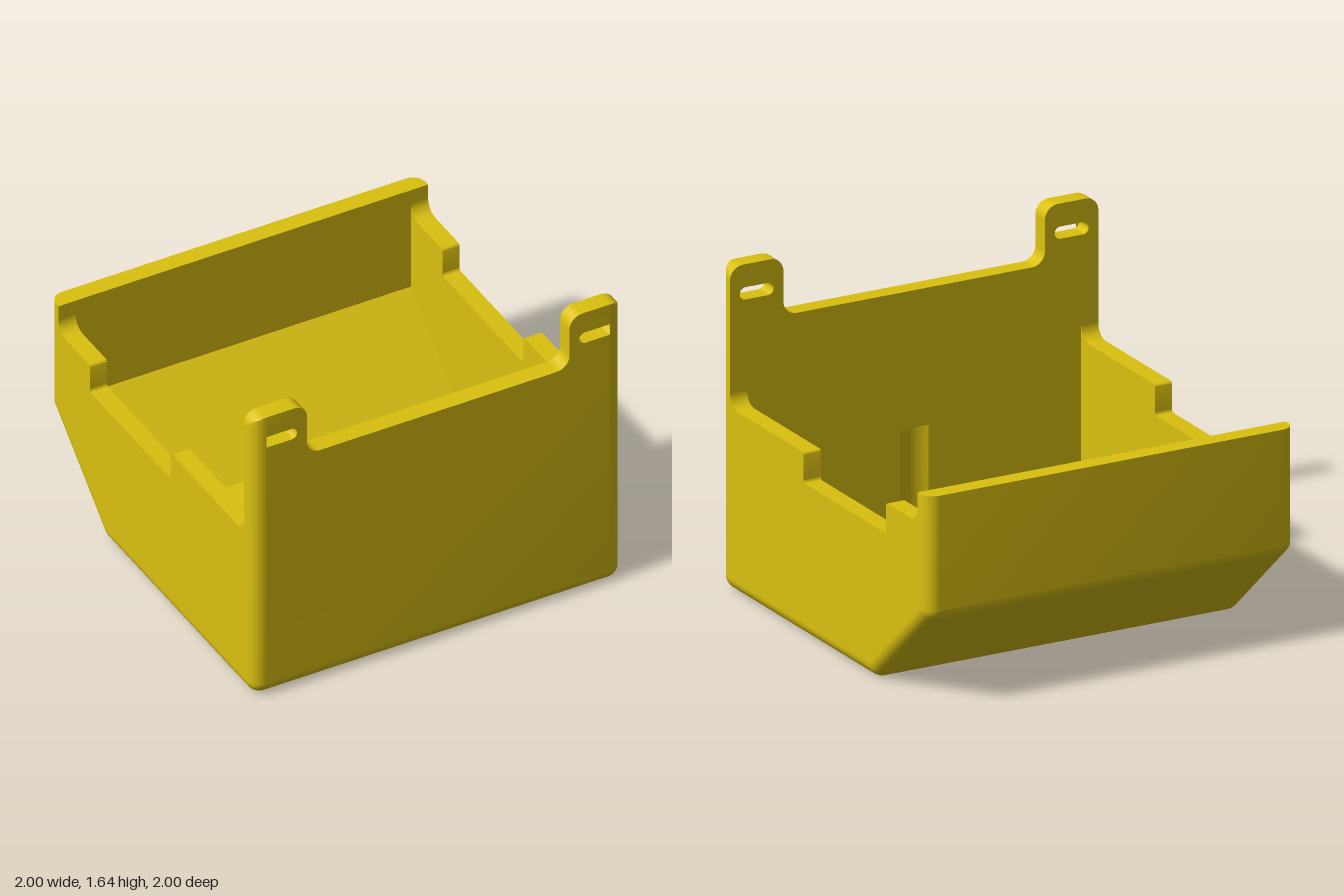
import * as THREE from 'three';
import { toCreasedNormals } from 'three/addons/utils/BufferGeometryUtils.js';

const R = 0.07;              // outer edge radius
const T = 0.093;             // wall thickness
const W = 1 - T;             // inner wall position
const C = 1 - R;             // where the outer rounding starts
const N = 8;                 // steps per rounded edge
const SZ = -0.465, SY = 0.47; // sharp ends of the rear slope
const TH = Math.atan2(SY, 1 + SZ);
const slopePoints = (d) => [ // slope corners moved inward by d, as (z, y)
  [SZ + d * Math.tan(TH / 2), d],
  [-1 + d, SY + d * Math.tan((Math.PI / 2 - TH) / 2)],
];

// Outline from [x, y, cornerRadius] points
function outline(points) {
  const s = new THREE.Shape();
  points.forEach(([x, y, r = 0], i) => {
    const p = new THREE.Vector2(x, y);
    const near = (q) => p.clone().add(new THREE.Vector2(q[0] - x, q[1] - y).setLength(r));
    const a = near(points.at(i - 1)), b = near(points[(i + 1) % points.length]);
    if (i === 0) s.moveTo(a.x, a.y); else s.lineTo(a.x, a.y);
    if (r > 0) {
      const h = a.clone().lerp(p, 0.5523), k = b.clone().lerp(p, 0.5523);
      s.bezierCurveTo(h.x, h.y, k.x, k.y, b.x, b.y);
    }
  });
  return s;
}

const circle = (x, y, r) => new THREE.Path().absarc(x, y, r, 0, Math.PI * 2, true);

function extrude(shape, depth, steps = 1, curveSegments = 10) {
  return new THREE.ExtrudeGeometry(shape, { depth, steps, curveSegments, bevelEnabled: false });
}

// Outer wall layer whose vertical edges curve round towards the sides
function roundedLayer(shape) {
  const g = extrude(shape, 1, N);
  const p = g.attributes.position;
  for (let i = 0; i < p.count; i++) {
    const phi = p.getZ(i) * Math.PI / 2;
    const limit = C + R * Math.cos(phi);
    p.setX(i, THREE.MathUtils.clamp(p.getX(i), -limit, limit));
    p.setZ(i, C + R * Math.sin(phi));
  }
  return g;
}

// Rounded lower skin: front edge, bottom side edges, slope and its edges
function skinGeometry() {
  const [c1, c2] = slopePoints(R);
  const q = Math.PI / 2;
  const arcs = [[[C, R], 0, -q], [c1, -q, -q - TH], [c2, -q - TH, -2 * q]];
  const rows = [];
  for (const [c, a0, a1] of arcs) {
    for (let i = 0; i <= N; i++) rows.push([c, a0 + (a1 - a0) * i / N]);
  }
  const cols = [];
  for (let j = 0; j <= N; j++) cols.push([-C, -q + q * j / N]);
  for (let j = 0; j <= N; j++) cols.push([C, q * j / N]);

  const pos = [], nor = [], idx = [];
  for (const [c, a] of rows) {
    for (const [x, phi] of cols) {
      const n = [Math.sin(phi), Math.sin(a) * Math.cos(phi), Math.cos(a) * Math.cos(phi)];
      pos.push(x + R * n[0], c[1] + R * n[1], c[0] + R * n[2]);
      nor.push(...n);
    }
  }
  const m = cols.length;
  for (let i = 0; i < rows.length - 1; i++) {
    for (let j = 0; j < m - 1; j++) {
      if (i === N && j === N) continue; // the pierced floor fills this gap
      const a = i * m + j, b = a + m;
      idx.push(a, b, a + 1, b, b + 1, a + 1);
    }
  }
  const g = new THREE.BufferGeometry();
  g.setAttribute('position', new THREE.Float32BufferAttribute(pos, 3));
  g.setAttribute('normal', new THREE.Float32BufferAttribute(nor, 3));
  g.setIndex(idx);
  return g;
}

export function createModel() {
  const group = new THREE.Group();
  group.name = 'mountingBox';
  const yellow = new THREE.MeshStandardMaterial({ color: 0xdac00f });
  yellow.name = 'yellow';
  const add = (name, geometry, crease = true) => {
    const mesh = new THREE.Mesh(crease ? toCreasedNormals(geometry, 0.5) : geometry, yellow);
    mesh.name = name;
    group.add(mesh);
    return mesh;
  };

  const [c1, c2] = slopePoints(R);
  const [s1, s2] = slopePoints(T);

  add('roundedLowerSkin', skinGeometry(), false);

  // Floor with cable holes
  const plug = { z: 0.77, r: 0.158 };
  const floor = outline([[-C, c1[0]], [C, c1[0]], [C, C], [-C, C]]);
  floor.holes.push(circle(0, 0.022, 0.332), circle(0, plug.z, plug.r));
  for (const x of [-0.718, 0.718]) {
    for (const z of [-0.255, 0.023, 0.3]) floor.holes.push(circle(x, z, 0.119));
  }
  add('floor', extrude(floor, T, 1, 40).rotateX(Math.PI / 2).translate(0, T, 0));

  // Inner face of the rear slope
  add('innerSlope', extrude(outline([s1, s2, c2, c1]), 2 * W).rotateY(-Math.PI / 2).translate(W, 0, 0));

  // Front wall with two slotted ears; the inner layer leaves a shallow groove
  const grooveTop = 0.65;
  const grooveHalf = Math.sqrt(plug.r ** 2 - (W - plug.z) ** 2);
  const top = [
    [1, R], [1, 1.637, 0.07], [0.71, 1.637, 0.07], [0.71, 1.342, 0.07],
    [-0.71, 1.342, 0.07], [-0.71, 1.637, 0.07], [-1, 1.637, 0.07], [-1, R],
  ];
  const groove = [
    [-grooveHalf, R], [-grooveHalf, grooveTop], [grooveHalf, grooveTop], [grooveHalf, R],
  ];
  const frontOuter = outline(top);
  const frontInner = outline([...top, ...groove]);
  for (const x of [-0.855, 0.855]) {
    const w = 0.092, h = 0.031, y = 1.49;
    const slot = outline([
      [x - w, y - h, h * 0.99], [x + w, y - h, h * 0.99], [x + w, y + h, h * 0.99], [x - w, y + h, h * 0.99],
    ]);
    frontOuter.holes.push(slot);
    frontInner.holes.push(slot);
  }
  add('frontWall', roundedLayer(frontOuter));
  add('frontWallInner', extrude(frontInner, C - W).translate(0, 0, W));

  // Curved lining of the groove
  const lining = [[grooveHalf, W], [grooveHalf, C], [-grooveHalf, C], [-grooveHalf, W]];
  const sweep = Math.asin(grooveHalf / plug.r);
  for (let i = 1; i < 12; i++) {
    const a = -sweep + 2 * sweep * i / 12;
    lining.push([plug.r * Math.sin(a), plug.z + plug.r * Math.cos(a)]);
  }
  add('grooveLining', extrude(outline(lining), grooveTop - 0.05)
    .rotateX(Math.PI / 2).translate(0, grooveTop, 0));

  // Low back wall
  const back = outline([[-1, c2[1]], [1, c2[1]], [1, 1.08], [-1, 1.08]]);
  add('backWall', roundedLayer(back).rotateY(Math.PI));
  add('backWallInner', extrude(back, C - W).translate(0, 0, W).rotateY(Math.PI));

  // Side walls with a stepped recess and filleted ends
  const side = outline([
    [C, R], [C, 1.0], [W, 1.0], [W, 0.93, 0.0695],
    [0.195, 0.93, 0.015], [0.195, 0.776, 0.015], [-0.6, 0.776, 0.015], [-0.6, 0.93, 0.015],
    [-W, 0.93, 0.0695], [-W, 1.0], [-C, 1.0], c2, c1,
  ]);
  for (const [name, x] of [['leftWall', 1], ['rightWall', -W]]) {
    add(name, extrude(side, T).rotateY(-Math.PI / 2).translate(x, 0, 0));
  }

  return group;
}
